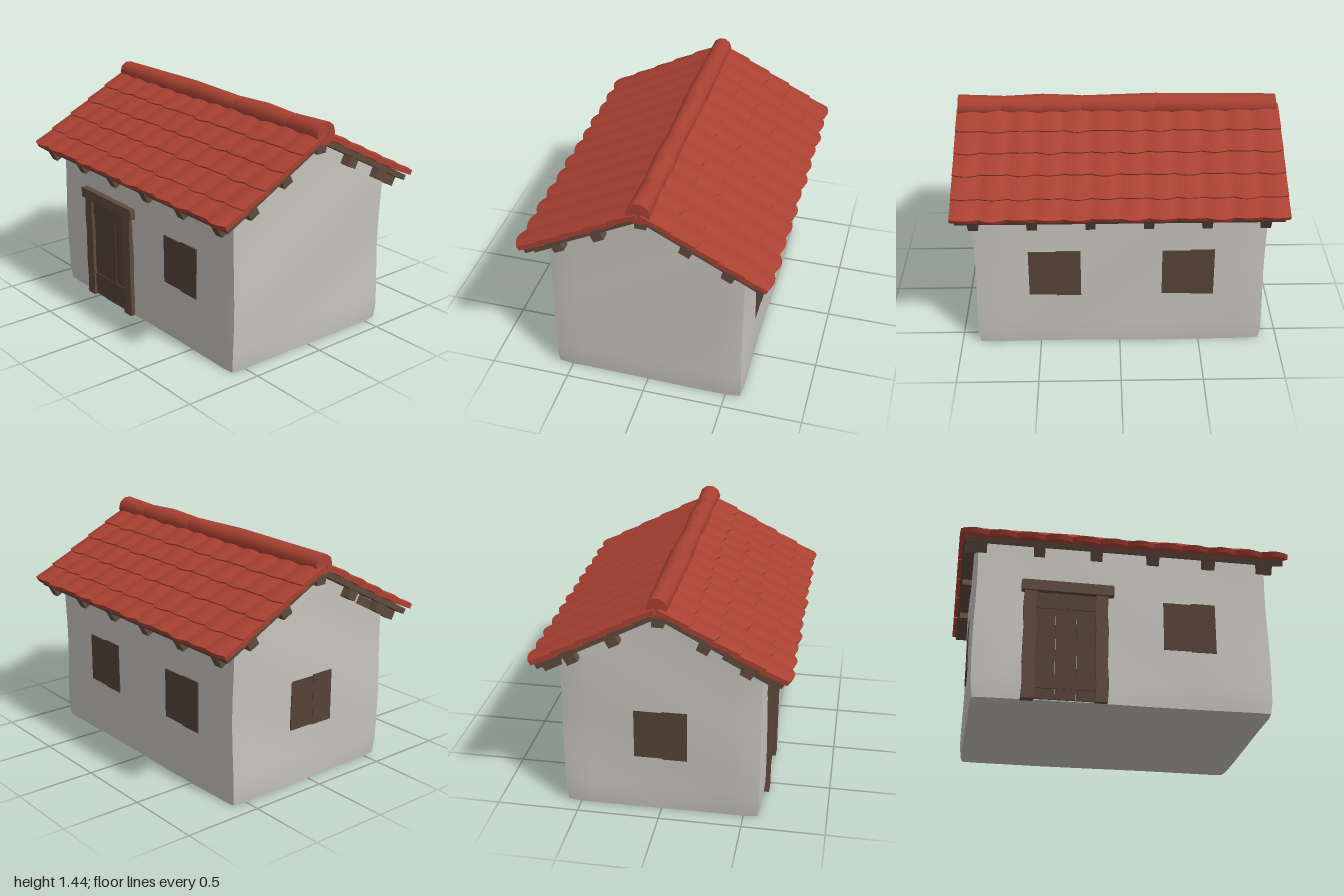
import * as THREE from 'three';
import { toCreasedNormals } from 'three/addons/utils/BufferGeometryUtils.js';

const mat = (name, color) => {
  const m = new THREE.MeshStandardMaterial({ color });
  m.name = name;
  return m;
};

// Moves every vertex of a geometry by a rule, then rebuilds normals
function warp(geo, rule, crease = 0.6) {
  const p = geo.attributes.position;
  const v = new THREE.Vector3();
  for (let i = 0; i < p.count; i++) {
    v.fromBufferAttribute(p, i);
    rule(v);
    p.setXYZ(i, v.x, v.y, v.z);
  }
  return toCreasedNormals(geo, crease);
}

export function createModel() {
  const plaster = mat('plaster', 0xc6c3bc);
  const tile = mat('roof tile', 0xa94132);
  const wood = mat('wood', 0x5f4a3d);
  const darkWood = mat('dark wood', 0x554338);

  const model = new THREE.Group();
  model.name = 'cottage';

  const add = (parent, name, geo, material, x = 0, y = 0, z = 0) => {
    const mesh = new THREE.Mesh(geo, material);
    mesh.name = name;
    mesh.position.set(x, y, z);
    parent.add(mesh);
    return mesh;
  };
  // Box given by its ranges on each axis
  const box = (parent, name, material, [x0, x1], [y0, y1], [z0, z1]) =>
    add(parent, name, new THREE.BoxGeometry(x1 - x0, y1 - y0, z1 - z0), material,
      (x0 + x1) / 2, (y0 + y1) / 2, (z0 + z1) / 2);

  // Uneven plaster walls with gabled ends
  const pitch = 0.53;
  const wallGeo = warp(new THREE.BoxGeometry(1.81, 1, 1.21, 20, 14, 14), (v) => {
    const t = v.y + 0.5;
    const corner = Math.abs(v.x) > 0.9 && Math.abs(v.z) > 0.6 ? 0.988 : 1;
    const foot = t < 0.01 ? 0.99 : 1;
    const { x, z } = v;
    v.y = t * (1.32 - pitch * Math.abs(z));
    v.x = x * corner * foot * (1 - 0.005 * (1 + Math.sin(7 * v.y + 4 * z)));
    v.z = z * corner * foot * (1 - 0.006 * (1 + Math.sin(5 * x + 6 * v.y)));
  }, 0.7);
  add(model, 'walls', wallGeo, plaster);

  // Shuttered windows: two thin leaves each
  const addWindow = (name, x, z, turn) => {
    const g = new THREE.Group();
    g.name = name;
    g.position.set(x, 0.52, z);
    g.rotation.y = turn;
    box(g, 'leftShutter', darkWood, [-0.16, 0.01], [-0.155, 0.155], [-0.006, 0.003]);
    box(g, 'rightShutter', darkWood, [0.01, 0.16], [-0.16, 0.162], [-0.004, 0.005]);
    model.add(g);
  };
  addWindow('frontWindow', 0.4, 0.604, 0);
  addWindow('backWindowLeft', 0.4, -0.604, Math.PI);
  addWindow('backWindowRight', -0.42, -0.604, Math.PI);
  addWindow('sideWindow', -0.904, 0, -Math.PI / 2);

  // Door with planks, ledges, posts and lintel
  const door = new THREE.Group();
  door.name = 'door';
  model.add(door);
  for (let i = 0; i < 3; i++) {
    const x = -0.535 + i * 0.125;
    box(door, 'doorPlank', darkWood, [x, x + 0.123], [0.005, 0.69], [0.585, 0.607 + (i % 2) * 0.003]);
  }
  for (const y of [0.07, 0.58])
    box(door, 'doorLedge', darkWood, [-0.53, -0.17], [y, y + 0.09], [0.59, 0.614]);
  const post = () => warp(new THREE.BoxGeometry(0.075, 0.69, 0.05, 1, 6, 1), (v) => {
    v.x += 0.004 * Math.sin(v.y * 21);
  });
  add(door, 'leftPost', post(), wood, -0.137, 0.345, 0.603);
  add(door, 'rightPost', post(), wood, -0.566, 0.345, 0.603);
  const lintel = box(door, 'lintel', wood, [-0.62, -0.065], [0.683, 0.75], [0.58, 0.642]);
  lintel.rotation.z = -0.008;

  // Roof slopes: local z runs down the slope from the ridge
  const ends = [0.2, 0.36, 0.52, 0.69, 0.835];
  const columns = 12;
  const tileRow = (start, end, seed) => {
    const len = end - start;
    return warp(new THREE.BoxGeometry(2, 0.03, len, columns * 6, 1, 2), (v) => {
      const down = v.z / len + 0.5;
      const u = ((v.x + 1) / 2) * columns;
      const round = Math.abs(Math.sin(Math.PI * u));
      const wobble = Math.sin(Math.floor(u + 0.001) * 2.3 + seed * 1.7);
      v.y += 0.016 + down * 0.013 + 0.013 * round;
      v.z += start + len / 2;
      if (down > 0.9) v.z += 0.018 * round + 0.006 * wobble * round - 0.01;
    }, 0.5);
  };
  for (const [side, turn] of [['front', 0], ['back', Math.PI]]) {
    const half = new THREE.Group();
    half.name = side + 'RoofSlope';
    half.rotation.y = turn;
    model.add(half);
    const slope = new THREE.Group();
    slope.name = 'slope';
    slope.position.y = 1.345;
    slope.rotation.x = Math.atan(pitch);
    half.add(slope);

    ends.forEach((end, i) => {
      const start = i ? ends[i - 1] - 0.04 : 0;
      add(slope, 'tileRow', tileRow(start, end, i + turn), tile);
    });
    box(slope, 'roofBoards', wood, [-0.975, 0.975], [-0.03, 0.004], [0, 0.815]);
    // Rafter tails under the eaves
    for (let i = 0; i < 6; i++) {
      const x = -0.87 + i * 0.347;
      box(slope, 'rafter', wood, [x - 0.03, x + 0.03], [-0.088, 0], [0.45, 0.82]);
    }
    // Purlins showing at both gables
    for (const z of [0.33, 0.61])
      box(slope, 'purlin', wood, [-0.96, 0.96], [-0.088, 0], [z - 0.035, z + 0.035]);
  }
  box(model, 'ridgeBeam', wood, [-0.96, 0.96], [1.25, 1.33], [-0.035, 0.035]);

  // Overlapping ridge caps of uneven length
  const cuts = [-0.98, -0.23, 0.23, 0.47, 0.72, 0.99];
  for (let i = 0; i < cuts.length - 1; i++) {
    const len = cuts[i + 1] - cuts[i];
    const wide = i % 2 ? [0.072, 0.06] : [0.062, 0.072];
    const cap = toCreasedNormals(new THREE.CylinderGeometry(wide[0], wide[1], len, 10), 0.8);
    const mesh = add(model, 'ridgeCap', cap, tile, (cuts[i] + cuts[i + 1]) / 2, 1.375, 0);
    mesh.rotation.z = Math.PI / 2;
  }
  return model;
}
